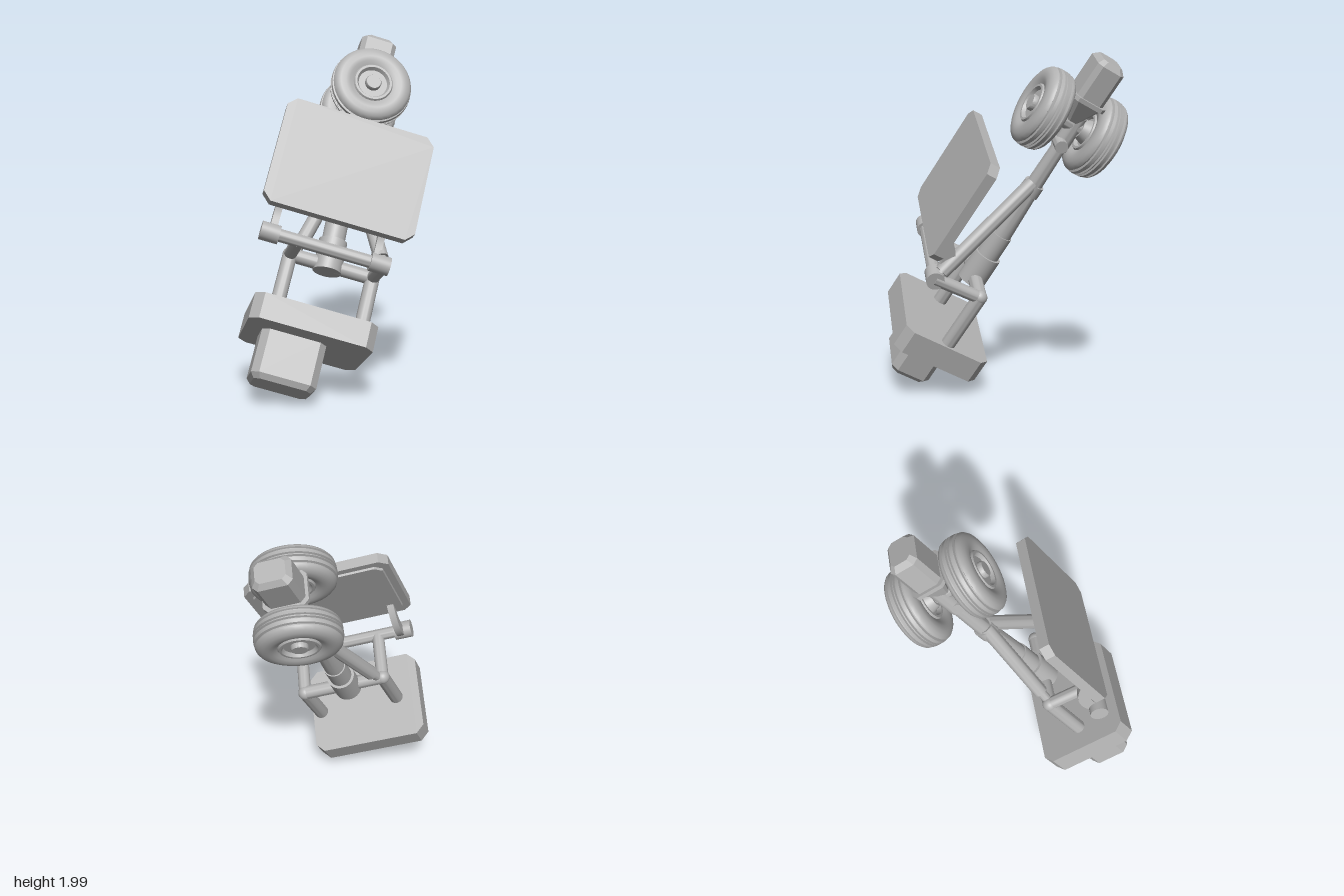
import * as THREE from 'three';
import { toCreasedNormals } from 'three/addons/utils/BufferGeometryUtils.js';
import { ConvexGeometry } from 'three/addons/geometries/ConvexGeometry.js';

const grey = new THREE.MeshStandardMaterial({ color: 0xb2b2b2 });
grey.name = 'plain grey';

const V = (x, y, z) => new THREE.Vector3(x, y, z);

// Corners of a rectangle with its four corners cut off
function cutRect(hw, hd, cut) {
  const pts = [];
  for (const sx of [-1, 1]) for (const sz of [-1, 1]) {
    pts.push([sx * (hw - cut), sz * hd], [sx * hw, sz * (hd - cut)]);
  }
  return pts;
}

export function createModel() {
  const gear = new THREE.Group();
  gear.name = 'landingGear';
  // the whole leg leans back and sideways
  gear.rotation.set(-Math.PI / 6, 0, -17 * Math.PI / 180, 'ZYX');

  function add(name, geometry, x = 0, y = 0, z = 0) {
    const mesh = new THREE.Mesh(geometry, grey);
    mesh.name = name;
    mesh.position.set(x, y, z);
    gear.add(mesh);
    return mesh;
  }

  // Convex block from rings of [height, halfWidth, halfDepth, cornerCut]
  function block(name, rings, x, y, z, facing = false) {
    const pts = rings.flatMap(([h, hw, hd, cut]) =>
      cutRect(hw, hd, cut).map(([a, b]) => (facing ? V(a, b, h) : V(a, h, b))));
    return add(name, new ConvexGeometry(pts), x, y, z);
  }

  // Round rod between two points
  function rod(name, from, to, r0, r1 = r0) {
    const dir = to.clone().sub(from);
    const geo = toCreasedNormals(new THREE.CylinderGeometry(r1, r0, dir.length(), 32), 0.7);
    const mesh = add(name, geo);
    mesh.position.copy(from).add(to).multiplyScalar(0.5);
    mesh.quaternion.setFromUnitVectors(V(0, 1, 0), dir.normalize());
    return mesh;
  }

  // Mounting base
  block('mountPlate', [[0, 0.348, 0.272, 0.05], [0.145, 0.348, 0.272, 0.05]], -0.278, 0, 0.493);
  block('mountBlock', [[-0.275, 0.16, 0.105, 0.03], [-0.245, 0.183, 0.128, 0.04], [0.01, 0.183, 0.128, 0.04]],
    -0.348, 0, 0.493);

  // Legs, cross bar and links to the hinge bar
  const yBar = 0.49, zBar = 0.487, yHinge = 0.475, zHinge = 0.775;
  for (const x of [-0.477, 0.015]) {
    rod('mountLeg', V(x, 0.1, zBar), V(x, yBar, zBar), 0.042);
    rod('hingeLink', V(x, yBar, zBar), V(x, yHinge, zHinge), 0.037);
    add('linkJoint', new THREE.SphereGeometry(0.043, 24, 16), x, yBar, zBar);
  }
  rod('crossBar', V(-0.477, yBar, zBar), V(0.015, yBar, zBar), 0.041);
  rod('hingeBar', V(-0.66, yHinge, zHinge), V(0.02, yHinge, zHinge), 0.036);
  rod('hingeCollar', V(-0.69, yHinge, zHinge), V(-0.585, yHinge, zHinge), 0.052);
  rod('hingeCollar', V(-0.065, yHinge, zHinge), V(0.045, yHinge, zHinge), 0.052);

  // Door with inner panel and curved arms
  block('door', [[0.84, 0.43, 0.32, 0.048], [0.9, 0.43, 0.32, 0.048]], -0.305, 0.925, 0, true);
  block('doorInnerPanel', [[0.828, 0.385, 0.275, 0.04], [0.842, 0.39, 0.28, 0.04]], -0.305, 0.925, 0, true);
  const arm = new THREE.Shape();
  arm.moveTo(-0.8, 0.47);
  arm.quadraticCurveTo(-0.755, 0.6, -0.85, 0.7);
  arm.lineTo(-0.835, 0.74);
  arm.quadraticCurveTo(-0.66, 0.62, -0.74, 0.47);
  arm.closePath();
  for (const x of [-0.625, -0.035]) {
    const geo = new THREE.ExtrudeGeometry(arm, { depth: 0.04, bevelEnabled: false, curveSegments: 12 });
    geo.translate(0, 0, -0.02);
    geo.rotateY(Math.PI / 2);
    add('doorArm', toCreasedNormals(geo, 0.6), x, 0, 0);
  }

  // Main strut, stepped towards the wheels
  const strutAt = (y) => V(-0.25 - 0.03 * (y - 0.5) / 0.9, y, 0.485);
  const steps = [
    ['strutSocket', 0.45, 0.64, 0.083, 0.083], ['strutBarrel', 0.64, 0.79, 0.067, 0.067],
    ['strutCylinder', 0.79, 1.09, 0.06, 0.05], ['strutCollar', 1.08, 1.15, 0.06, 0.06],
    ['strutPiston', 1.15, 1.42, 0.048, 0.043], ['axleFork', 1.4, 1.62, 0.05, 0.05],
  ];
  for (const [name, y0, y1, r0, r1] of steps) rod(name, strutAt(y0), strutAt(y1), r0, r1);

  // Side and drag braces
  rod('sideBrace', V(-0.43, 0.58, zBar), V(-0.285, 1.15, 0.5), 0.042);
  rod('sideBraceEnd', V(-0.465, 0.46, zBar), V(-0.43, 0.58, zBar), 0.028);
  rod('dragBrace', V(-0.005, 0.52, 0.755), V(-0.255, 1.15, 0.505), 0.042);
  rod('dragBraceEnd', V(0.012, 0.475, 0.775), V(-0.005, 0.52, 0.755), 0.03);

  // Axle
  const xAxle = -0.28, yAxle = 1.557, zAxle = 0.517;
  rod('axle', V(xAxle, yAxle, zAxle - 0.18), V(xAxle, yAxle, zAxle + 0.18), 0.042);
  rod('forkLug', V(-0.33, 1.435, 0.505), V(-0.19, 1.435, 0.505), 0.037);

  // Twin wheels: half profile [radius, offset], mirrored across the tread
  const half = [[0, 0.085], [0.042, 0.085], [0.047, 0.076], [0.047, 0.058], [0.085, 0.058],
    [0.097, 0.078], [0.11, 0.078], [0.117, 0.068], [0.14, 0.08], [0.165, 0.086], [0.195, 0.082],
    [0.217, 0.071], [0.23, 0.056], [0.232, 0.05], [0.222, 0.046], [0.222, 0.038],
    [0.236, 0.034], [0.239, 0.016], [0.226, 0.012], [0.226, 0.005], [0.239, 0.001]];
  const profile = [
    ...half.map(([r, o]) => new THREE.Vector2(r, -o)),
    ...half.slice().reverse().map(([r, o]) => new THREE.Vector2(r, o)),
  ];
  const wheelGeo = toCreasedNormals(new THREE.LatheGeometry(profile, 56).rotateX(Math.PI / 2), 0.6);
  for (const s of [-1, 1]) {
    add('wheel', wheelGeo, xAxle, yAxle, zAxle + s * 0.178);
    rod('wheelHub', V(xAxle, yAxle, zAxle + s * 0.07), V(xAxle, yAxle, zAxle + s * 0.14), 0.055, 0.08);
  }

  // End block on a tapered foot and flange
  block('footTaper', [[1.58, 0.045, 0.03, 0.01], [1.72, 0.11, 0.085, 0.02]], xAxle, 0, zAxle);
  block('footFlange', [[1.715, 0.125, 0.1, 0.025], [1.74, 0.125, 0.1, 0.025]], xAxle, 0, zAxle);
  block('endBlock', [[1.73, 0.108, 0.085, 0.028], [1.945, 0.108, 0.085, 0.028], [1.975, 0.082, 0.06, 0.022]],
    xAxle, 0, zAxle);

  const root = new THREE.Group();
  root.add(gear);
  return root;
}
